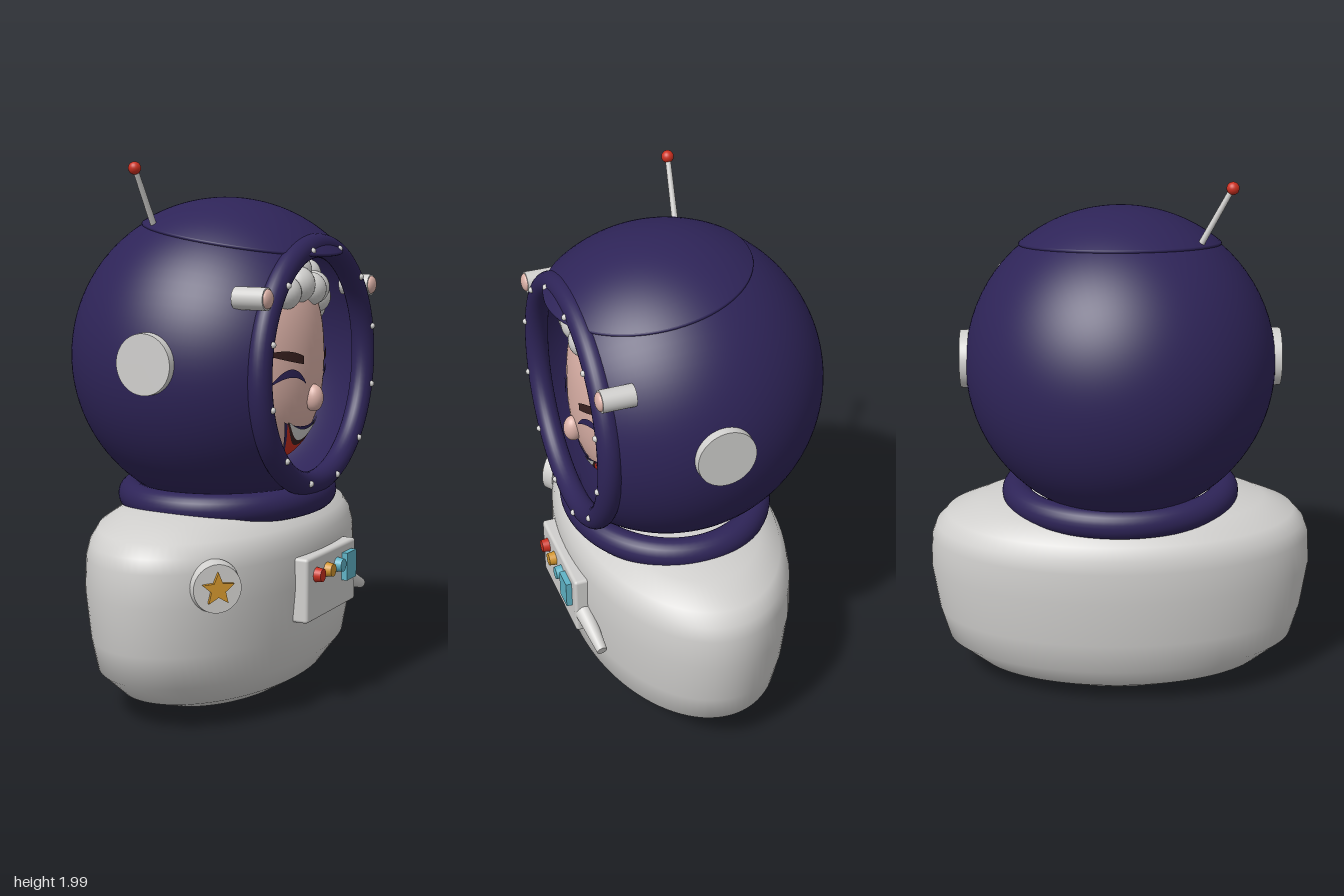
import * as THREE from 'three';
import { RoundedBoxGeometry } from 'three/addons/geometries/RoundedBoxGeometry.js';

const material = (name, color, side = THREE.FrontSide) => {
  const m = new THREE.MeshStandardMaterial({ color, side });
  m.name = name;
  return m;
};

export function createModel() {
  const navy = material('navy', 0x2e2458, THREE.DoubleSide);
  const white = material('suit white', 0xd0cfcd);
  const skin = material('skin', 0xdab0a6);
  const brown = material('dark brown', 0x38201f);
  const red = material('red', 0xcc3020);
  const gold = material('gold', 0xd2962e);
  const cyan = material('cyan', 0x5fb3c6);

  const root = new THREE.Group();
  root.name = 'astronautBust';
  const add = (parent, name, geometry, mat, x = 0, y = 0, z = 0) => {
    const mesh = new THREE.Mesh(geometry, mat);
    mesh.name = name;
    mesh.position.set(x, y, z);
    parent.add(mesh);
    return mesh;
  };
  // Tapered rod between two points
  const rod = (parent, name, a, b, ra, rb, mat) => {
    const from = new THREE.Vector3(...a), to = new THREE.Vector3(...b);
    const dir = to.clone().sub(from);
    const mesh = add(parent, name, new THREE.CylinderGeometry(rb, ra, dir.length(), 24), mat);
    mesh.position.copy(from).lerp(to, 0.5);
    mesh.quaternion.setFromUnitVectors(new THREE.Vector3(0, 1, 0), dir.normalize());
  };

  // Whole figure is turned slightly to its left
  const turned = new THREE.Group();
  turned.name = 'turnedFigure';
  turned.position.z = 0.03;
  turned.rotation.y = 0.302;
  root.add(turned);

  // Torso: oval lathe
  const torsoProfile = [[0, 0.01], [0.58, 0.04], [0.77, 0.09], [0.92, 0.18], [0.965, 0.3], [1, 0.48],
    [0.99, 0.6], [0.965, 0.65], [0.91, 0.695], [0.75, 0.745], [0.5, 0.775], [0, 0.79]];
  const torso = new THREE.LatheGeometry(torsoProfile.map(p => new THREE.Vector2(...p)), 96);
  torso.scale(0.74, 1, 0.42);
  add(turned, 'torso', torso, white);

  // Neck ring
  const collar = new THREE.TorusGeometry(0.4, 0.056, 24, 80);
  collar.rotateX(Math.PI / 2);
  collar.scale(1, 1, 0.88);
  add(turned, 'neckRing', collar, navy, 0, 0.773, 0.01);

  // Chest control panel
  const panel = new THREE.Group();
  panel.name = 'controlPanel';
  panel.position.set(0, 0.47, 0.41);
  turned.add(panel);
  add(panel, 'panelBox', new RoundedBoxGeometry(0.42, 0.24, 0.08, 3, 0.012), white);
  [[red, -0.136], [gold, -0.047], [cyan, 0.042]].forEach(([mat, x]) => {
    const button = new THREE.CylinderGeometry(0.024, 0.028, 0.035, 24);
    button.rotateX(Math.PI / 2);
    add(panel, 'button', button, mat, x, 0.05, 0.05);
  });
  add(panel, 'panelScreen', new THREE.BoxGeometry(0.084, 0.105, 0.025), cyan, 0.126, 0.033, 0.05);
  rod(turned, 'panelHose', [0.19, 0.435, 0.415], [0.37, 0.37, 0.4], 0.036, 0.02, white);

  // Star badge
  const badge = new THREE.Group();
  badge.name = 'badge';
  badge.position.set(-0.575, 0.55, 0.275);
  badge.rotation.y = -0.78;
  turned.add(badge);
  const badgeDisc = new THREE.CylinderGeometry(0.086, 0.095, 0.05, 40);
  badgeDisc.rotateX(Math.PI / 2);
  add(badge, 'badgeDisc', badgeDisc, white);
  const star = new THREE.Shape();
  for (let i = 0; i < 10; i++) {
    const r = i % 2 ? 0.027 : 0.06, a = Math.PI / 2 + i * Math.PI / 5;
    star[i ? 'lineTo' : 'moveTo'](r * Math.cos(a), r * Math.sin(a));
  }
  add(badge, 'badgeStar', new THREE.ExtrudeGeometry(star, { depth: 0.018, bevelEnabled: false }), gold, 0, 0, 0.022);

  // Helmet shell, open at the front
  const helmet = new THREE.Group();
  helmet.name = 'helmet';
  helmet.position.y = 1.287;
  turned.add(helmet);
  const opening = Math.asin(0.435 / 0.58);
  const shell = new THREE.SphereGeometry(0.58, 80, 56, 0, Math.PI * 2, opening, Math.PI - opening);
  shell.rotateX(Math.PI / 2);
  add(helmet, 'helmetShell', shell, navy);

  // Raised crown plate with a rounded edge
  const crown = new THREE.Group();
  crown.name = 'crown';
  crown.rotation.x = 0.157;
  helmet.add(crown);
  const capAngle = 0.69;
  add(crown, 'crownPlate', new THREE.SphereGeometry(0.588, 72, 16, 0, Math.PI * 2, 0, capAngle), navy);
  const lip = new THREE.TorusGeometry(0.581 * Math.sin(capAngle), 0.007, 10, 72);
  lip.rotateX(Math.PI / 2);
  add(crown, 'crownLip', lip, navy, 0, 0.581 * Math.cos(capAngle), 0);

  // Visor rim and rivets
  add(helmet, 'visorRim', new THREE.TorusGeometry(0.435, 0.044, 24, 96), navy, 0, -0.02, 0.37);
  for (let i = 0; i < 12; i++) {
    const a = (i + 0.5) * Math.PI / 6;
    add(helmet, 'rivet', new THREE.SphereGeometry(0.012, 12, 8), white,
      0.435 * Math.cos(a), -0.02 + 0.435 * Math.sin(a), 0.413);
  }

  // Ear discs and side lamps
  for (const s of [-1, 1]) {
    const ear = new THREE.CylinderGeometry(0.108, 0.112, 0.07, 48);
    ear.rotateZ(-s * Math.PI / 2);
    add(helmet, 'earDisc', ear, white, s * 0.562, 0.02, 0);
    const lamp = new THREE.CylinderGeometry(0.04, 0.04, 0.12, 28);
    lamp.rotateX(Math.PI / 2);
    add(helmet, 'lampBody', lamp, white, s * 0.437, 0.25, 0.34);
    const lens = new THREE.SphereGeometry(0.034, 24, 16);
    lens.scale(1, 1, 0.5);
    add(helmet, 'lampLens', lens, skin, s * 0.437, 0.25, 0.4);
  }

  // Antenna
  rod(root, 'antennaRod', [-0.29, 1.73, -0.025], [-0.42, 1.98, 0], 0.012, 0.01, white);
  add(root, 'antennaBall', new THREE.SphereGeometry(0.023, 24, 16), red, -0.42, 1.978, 0);

  // Head: an oval with a fuller middle
  const rx = 0.325, ry = 0.43, rz = 0.29, cz = 0.08;
  const fullness = y => Math.sqrt(Math.max(0, 1 - Math.abs(y / ry) ** 2.5));
  const faceZ = (x, y) => cz + rz * Math.sqrt(Math.max(0, fullness(y) ** 2 - (x / rx) ** 2));
  const headOval = (a0, a1) => {
    const points = [];
    for (let i = 0; i <= 32; i++) {
      const y = ry * Math.sin(a0 + (a1 - a0) * i / 32);
      points.push(new THREE.Vector2(fullness(y), y));
    }
    return new THREE.LatheGeometry(points, 64).scale(rx, 1, rz);
  };
  add(helmet, 'head', headOval(-Math.PI / 2, Math.PI / 2), skin, 0, 0, cz);
  add(helmet, 'hairCap', headOval(0.55, Math.PI / 2).scale(1.04, 1.04, 1.04), white, 0, 0, cz);

  // Hair curls along the forehead: x, y, radius
  [[-0.3, 0.15, 0.05], [-0.275, 0.205, 0.055], [-0.2, 0.235, 0.06], [-0.12, 0.25, 0.062], [-0.04, 0.275, 0.068],
    [0.05, 0.255, 0.062], [0.13, 0.255, 0.062], [0.2, 0.215, 0.06], [0.26, 0.17, 0.055], [0.295, 0.11, 0.045],
    [-0.16, 0.3, 0.06], [0.16, 0.3, 0.06], [0.01, 0.325, 0.06]].forEach(([x, y, r]) =>
    add(helmet, 'hairCurl', new THREE.SphereGeometry(r, 24, 16), white, x, y, faceZ(x, y)));

  const nose = add(helmet, 'nose', new THREE.SphereGeometry(0.036, 24, 16), skin, 0, -0.14, 0.368);
  nose.scale.set(1, 1.4, 1);

  // Thin face detail between two curves, laid on the head; q runs -1 to 1
  const facePatch = (name, mat, x0, x1, low, high, lift) => {
    const g = new THREE.PlaneGeometry(2, 1, 28, 6), p = g.attributes.position;
    for (let i = 0; i < p.count; i++) {
      const q = p.getX(i), t = p.getY(i) + 0.5;
      const x = x0 + (x1 - x0) * (q + 1) / 2;
      const y = low(q) + (high(q) - low(q)) * t;
      p.setXYZ(i, x, y, faceZ(x, y) + lift);
    }
    g.computeVertexNormals();
    add(helmet, name, g, mat);
  };

  // Closed smiling eyes and brows
  const bow = q => 1 - q * q;
  for (const s of [-1, 1]) {
    facePatch('eye', navy, s * 0.143 - 0.077, s * 0.143 + 0.077,
      q => -0.083 + 0.03 * bow(q), q => -0.08 + 0.057 * bow(q), 0.007);
    facePatch('brow', brown, s * 0.16 - 0.075, s * 0.16 + 0.075,
      q => 0.012 + 0.02 * s * q - 0.003 * bow(q), q => 0.029 + 0.008 * s * q + 0.014 * bow(q), 0.008);
  }

  // Laughing mouth in curved bands
  const mouthBand = (name, mat, w, d0, d1, lift) =>
    facePatch(name, mat, -w, w, q => -0.218 - d1 * bow(q), q => -0.218 - d0 * bow(q), lift);
  mouthBand('mouthOutline', navy, 0.138, 0.028, 0.15, 0.005);
  mouthBand('lowerLip', red, 0.128, 0.09, 0.147, 0.008);
  mouthBand('mouthInside', brown, 0.126, 0.04, 0.104, 0.009);
  mouthBand('teeth', white, 0.122, 0.04, 0.085, 0.011);

  return root;
}
